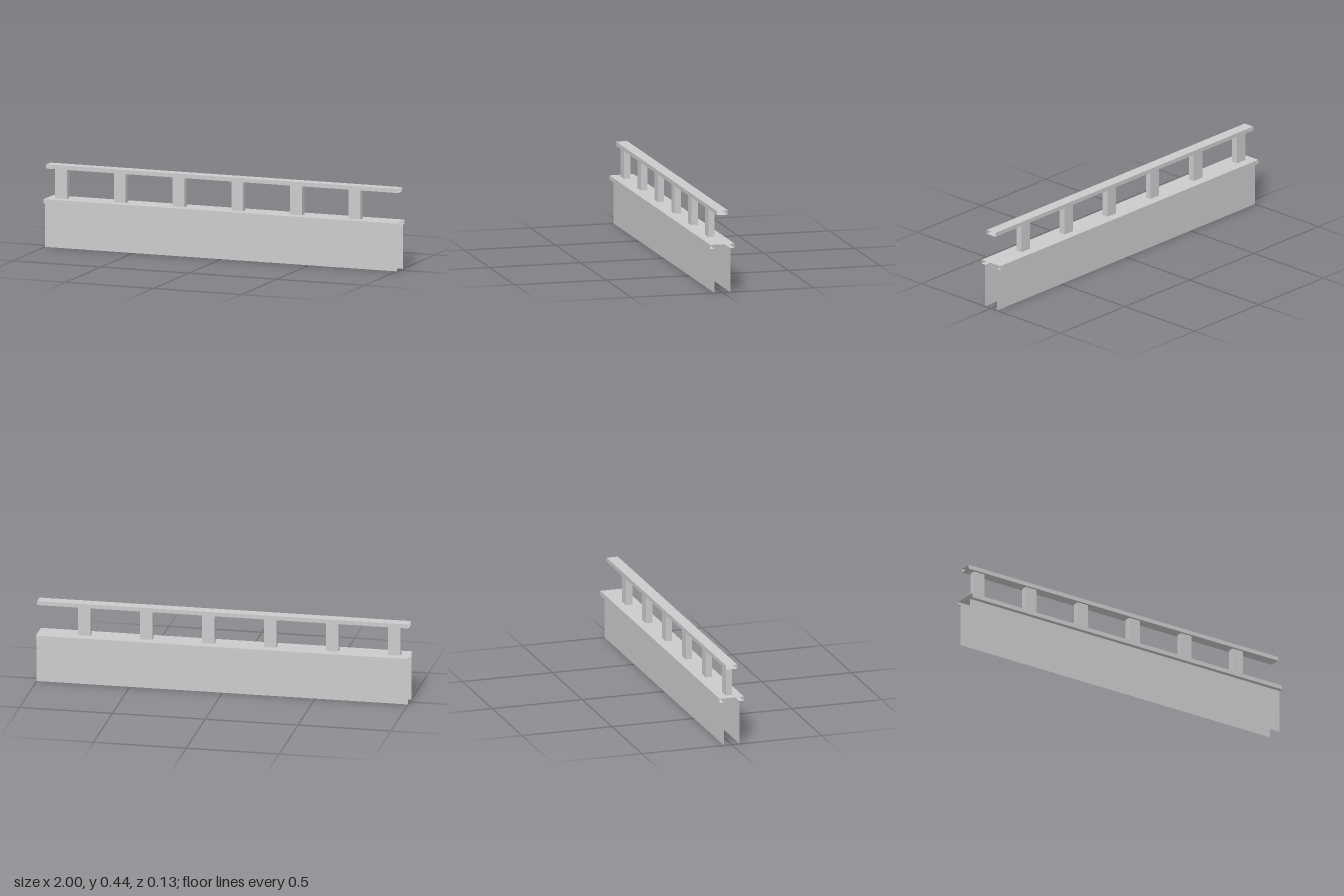
import * as THREE from 'three';

const material = new THREE.MeshStandardMaterial({ color: 0xcccccc, flatShading: true, side: THREE.DoubleSide });

// Thin sheet: a [z, y] profile swept along the full length in x, open at both ends
function sweptSheet(name, profile, length = 2) {
  const positions = [];
  for (let i = 0; i < profile.length - 1; i++) {
    const [z0, y0] = profile[i];
    const [z1, y1] = profile[i + 1];
    const h = length / 2;
    positions.push(-h, y0, z0, h, y0, z0, h, y1, z1);
    positions.push(-h, y0, z0, h, y1, z1, -h, y1, z1);
  }
  const geometry = new THREE.BufferGeometry();
  geometry.setAttribute('position', new THREE.Float32BufferAttribute(positions, 3));
  geometry.computeVertexNormals();
  const mesh = new THREE.Mesh(geometry, material);
  mesh.name = name;
  return mesh;
}

export function createModel() {
  const group = new THREE.Group();
  group.name = 'parapet';

  const wallZ = 0.043, capZ = 0.067, railZ = 0.031;
  const lipY = 0.237, capY = 0.26, railBottom = 0.418, railTop = 0.44;

  // Two side walls joined by an overhanging cap
  group.add(sweptSheet('wallAndCap', [
    [wallZ, 0], [wallZ, lipY], [capZ, lipY], [capZ, capY],
    [-capZ, capY], [-capZ, lipY], [-wallZ, lipY], [-wallZ, 0],
  ]));

  // Hollow handrail
  group.add(sweptSheet('handrail', [
    [railZ, railBottom], [railZ, railTop], [-railZ, railTop],
    [-railZ, railBottom], [railZ, railBottom],
  ]));

  // Evenly spaced posts between the cap and the handrail
  const postHeight = railBottom - capY;
  const postGeometry = new THREE.BoxGeometry(0.067, postHeight, 0.035);
  for (let i = 0; i < 6; i++) {
    const post = new THREE.Mesh(postGeometry, material);
    post.name = `post${i + 1}`;
    post.position.set(-0.92 + i * 0.334, capY + postHeight / 2, 0);
    group.add(post);
  }
  return group;
}
